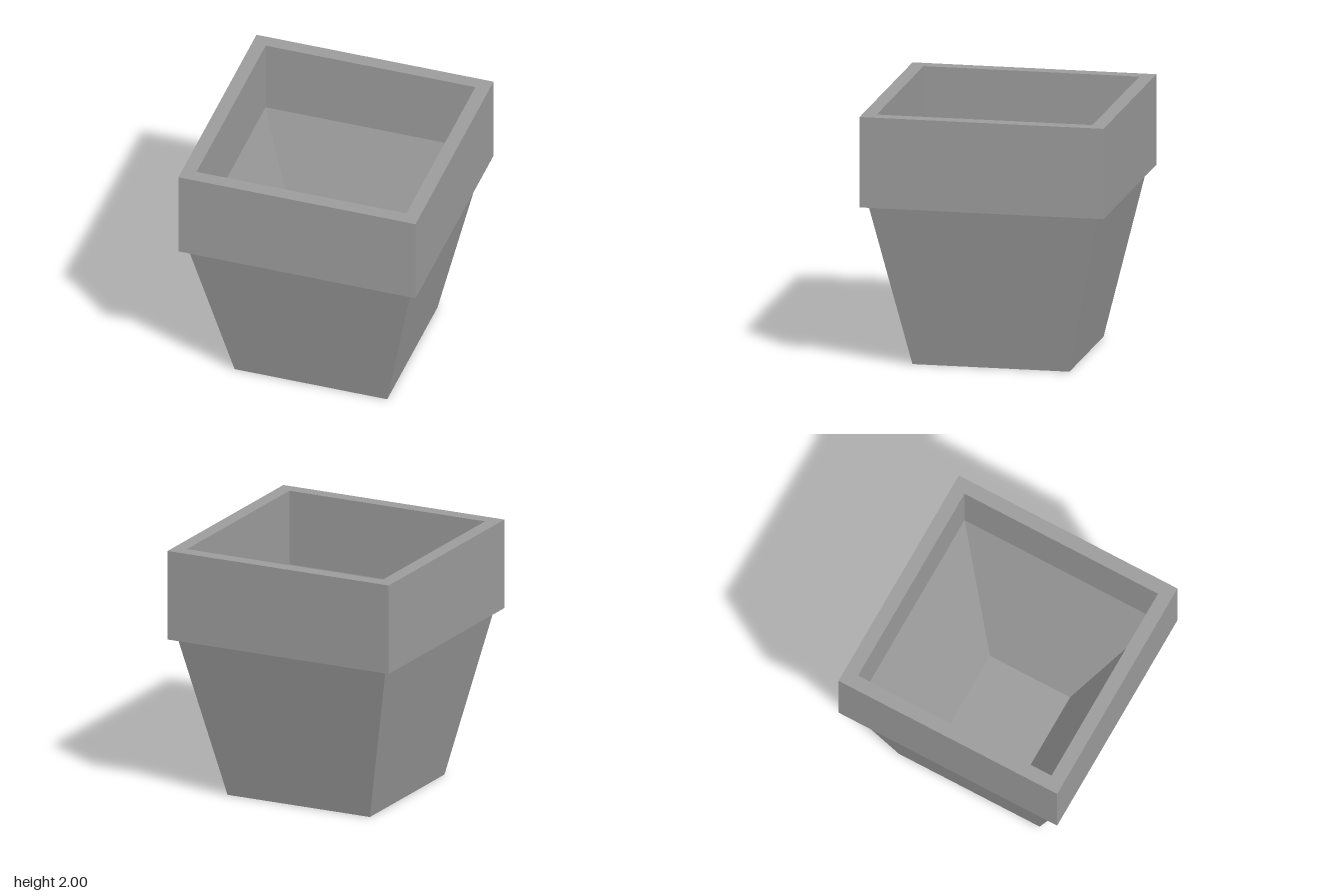
import * as THREE from 'three';

// Square ring surface: profile points are [half width, height]
function squareLathe(name, profile, material) {
  const points = profile.map(([half, y]) => new THREE.Vector2(half * Math.SQRT2, y));
  const mesh = new THREE.Mesh(new THREE.LatheGeometry(points, 4, Math.PI / 4), material);
  mesh.name = name;
  return mesh;
}

export function createModel() {
  const stone = new THREE.MeshStandardMaterial({ color: 0x9c9c9c });
  stone.name = 'grey stone';
  stone.flatShading = true;

  const pot = new THREE.Group();
  pot.name = 'squarePlanter';
  pot.add(
    // Closed base and tapered outer walls
    squareLathe('body', [[0, 0], [0.615, 0], [0.895, 1.28]], stone),
    // Overhanging collar with its underside and flat top
    squareLathe('rim', [[0.895, 1.28], [0.955, 1.29], [0.955, 2], [0.845, 2]], stone),
    // Straight inner collar, sloping inner walls and floor
    squareLathe('interior', [[0.845, 2], [0.845, 1.41], [0.35, 0.22], [0, 0.22]], stone),
  );
  return pot;
}
